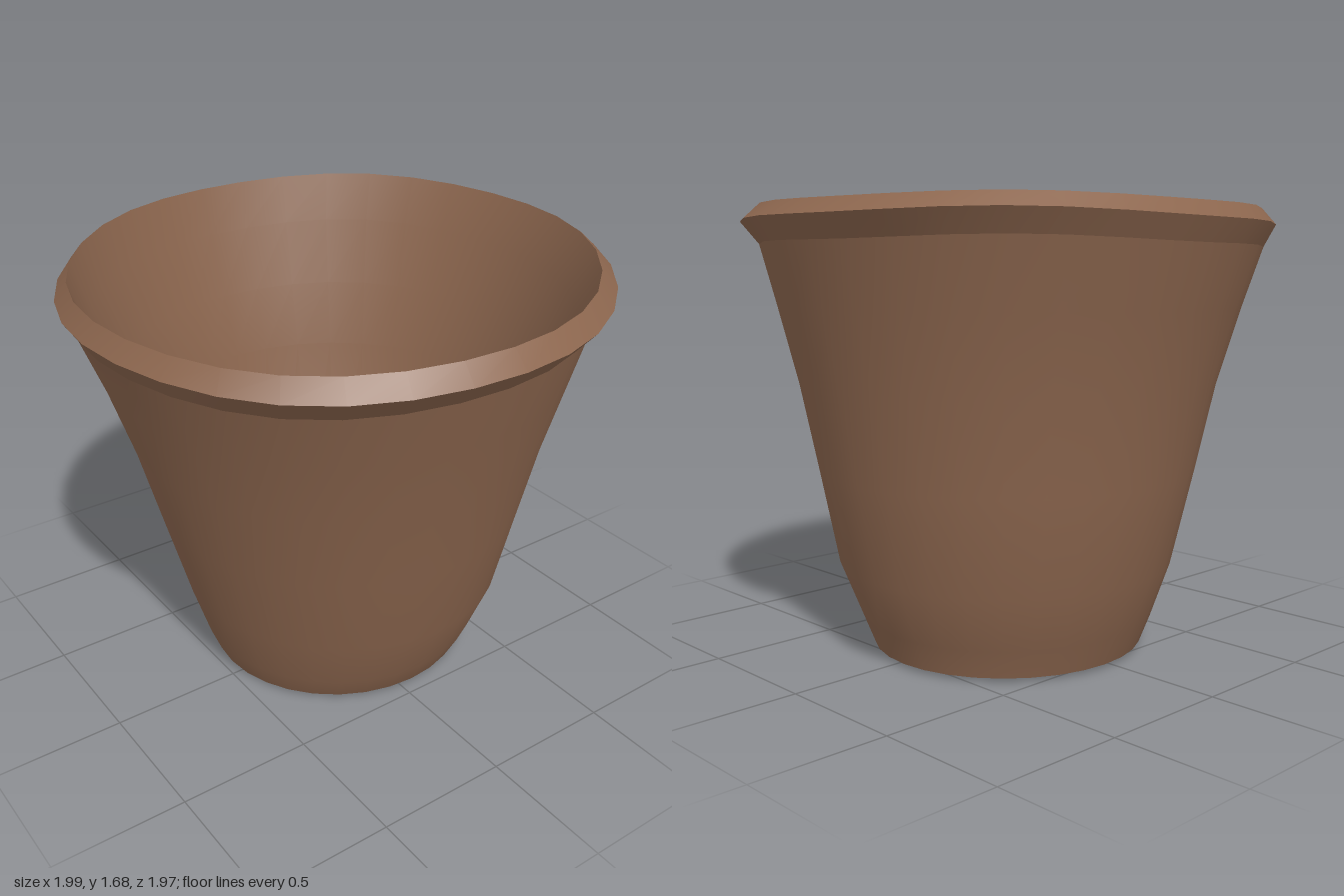
import * as THREE from 'three';

const SIDES = 32;

// Skins a stack of slightly off-centre rings: [centreX, centreZ, radiusX, radiusZ, y, tilt]
function loft(rings) {
  const positions = [], indices = [];
  rings.forEach(([cx, cz, rx, rz, y, tilt = 0], r) => {
    for (let i = 0; i < SIDES; i++) {
      const a = (i / SIDES) * Math.PI * 2;
      const x = cx + rx * Math.cos(a), z = cz + rz * Math.sin(a);
      const sag = -0.025 * x - 0.034 * z + 0.005 * Math.sin(a * 5 + 1);
      positions.push(x, y + tilt * sag, z);
      if (r === 0) continue;
      const j = (i + 1) % SIDES, low = (r - 1) * SIDES, high = r * SIDES;
      indices.push(low + i, high + i, low + j, low + j, high + i, high + j);
    }
  });
  const geometry = new THREE.BufferGeometry();
  geometry.setAttribute('position', new THREE.Float32BufferAttribute(positions, 3));
  geometry.setIndex(indices);
  geometry.computeVertexNormals();
  return geometry;
}

export function createModel() {
  const clay = new THREE.MeshStandardMaterial({ color: 0x8c664e });
  clay.name = 'brown clay';
  const pot = new THREE.Group();
  pot.name = 'flowerPot';

  // Rings shared between neighbouring parts
  const foot = [-0.055, -0.05, 0.505, 0.52, 0.015];
  const neck = [-0.018, 0, 0.94, 0.93, 1.5, 1];
  const rimEdge = [-0.004, -0.003, 0.995, 0.987, 1.58, 1];
  const lip = [-0.005, 0.003, 0.938, 0.935, 1.64, 0.8];
  const floorEdge = [-0.032, -0.055, 0.448, 0.465, 0.08];
  const holeTop = [-0.18, 0.03, 0.04, 0.04, 0.05];
  const holeBase = [-0.18, 0.03, 0.04, 0.04, 0.01];

  const parts = {
    outerWall: [
      foot,
      [-0.045, -0.045, 0.555, 0.558, 0.12],
      [-0.045, -0.055, 0.635, 0.632, 0.33],
      [-0.032, -0.035, 0.717, 0.71, 0.68],
      [-0.02, -0.02, 0.79, 0.782, 1.0, 0.2],
      [-0.017, -0.01, 0.873, 0.86, 1.28, 0.6],
      neck,
    ],
    rimUnderside: [neck, rimEdge],
    rimTop: [rimEdge, lip],
    innerWall: [
      lip,
      [-0.015, 0, 0.875, 0.87, 1.46, 0.8],
      [-0.018, -0.012, 0.8, 0.79, 1.22, 0.4],
      [-0.022, -0.02, 0.725, 0.718, 0.98],
      [-0.045, -0.05, 0.57, 0.57, 0.34],
      floorEdge,
    ],
    innerFloor: [
      floorEdge,
      [-0.11, -0.01, 0.22, 0.23, 0.08],
      [-0.175, 0.027, 0.065, 0.065, 0.072],
      holeTop,
    ],
    drainHole: [holeTop, holeBase],
    underside: [
      holeBase,
      [-0.175, 0.027, 0.065, 0.065, 0.002],
      [-0.11, -0.01, 0.24, 0.24, 0],
      foot,
    ],
  };

  for (const [name, rings] of Object.entries(parts)) {
    const mesh = new THREE.Mesh(loft(rings), clay);
    mesh.name = name;
    pot.add(mesh);
  }
  return pot;
}
